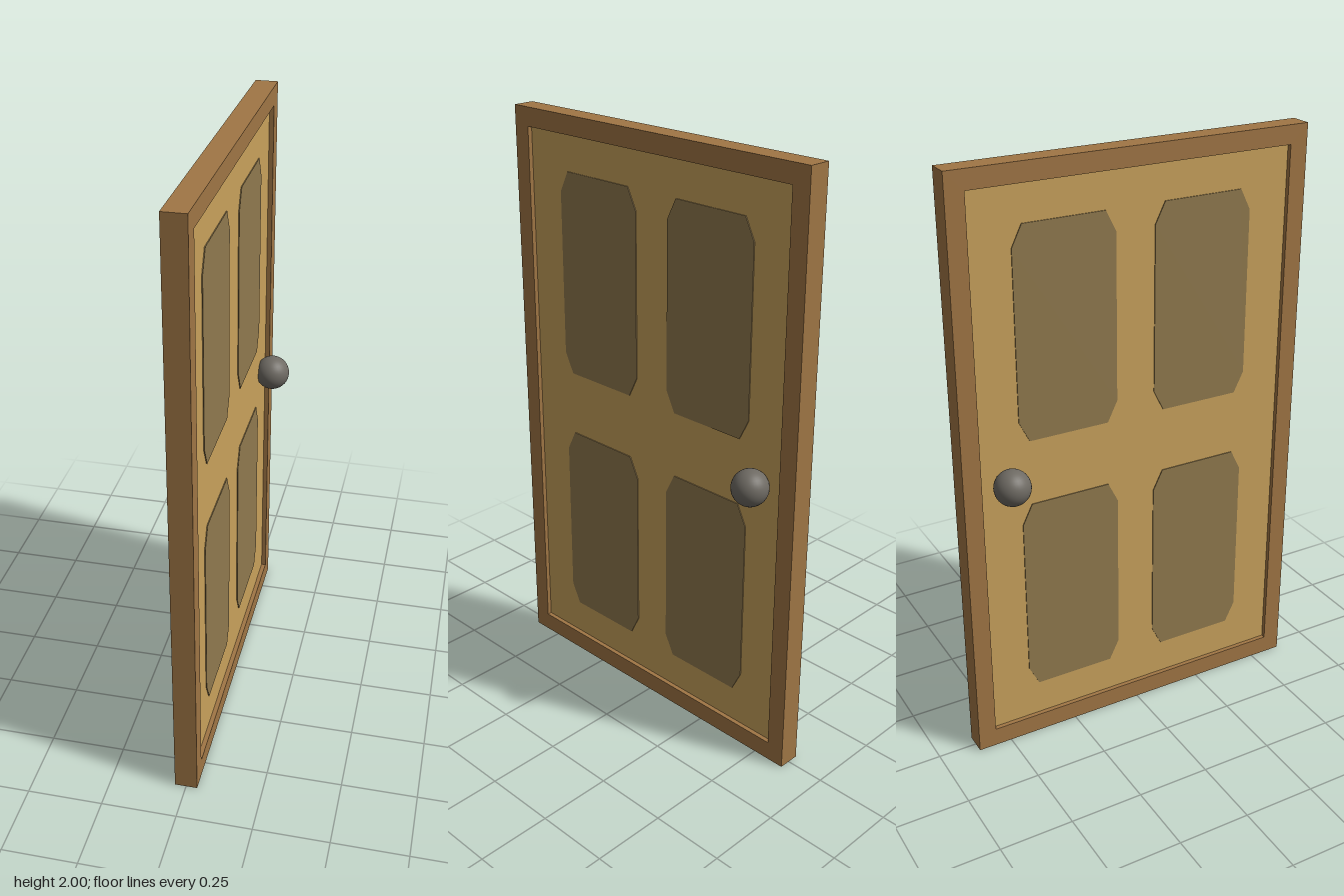
import * as THREE from 'three';

const FRAME_DEPTH = 0.075, DOOR_DEPTH = 0.044, INLAY_DEPTH = 0.05;

// Closed shape from [z, y] corners
const outline = (points) => new THREE.Shape(points.map(([z, y]) => new THREE.Vector2(z, y)));

const rect = (z0, y0, z1, y1) => [[z0, y0], [z1, y0], [z1, y1], [z0, y1]];

// Rectangle with cut corners
function cutRect(z0, y0, z1, y1, cz, cy) {
  return [
    [z0 + cz, y0], [z1 - cz, y0], [z1, y0 + cy], [z1, y1 - cy],
    [z1 - cz, y1], [z0 + cz, y1], [z0, y1 - cy], [z0, y0 + cy],
  ];
}

// Extrudes a shape drawn in the z-y plane, centred on x = 0
function slab(name, shape, depth, material) {
  const geometry = new THREE.ExtrudeGeometry(shape, { depth, bevelEnabled: false });
  geometry.translate(0, 0, -depth / 2);
  geometry.rotateY(-Math.PI / 2);
  const mesh = new THREE.Mesh(geometry, material);
  mesh.name = name;
  return mesh;
}

export function createModel() {
  const group = new THREE.Group();
  group.name = 'door';
  const frameWood = new THREE.MeshStandardMaterial({ color: 0xa07645 });
  const doorWood = new THREE.MeshStandardMaterial({ color: 0xc9a25c });
  const inlayWood = new THREE.MeshStandardMaterial({ color: 0x90794e });
  const metal = new THREE.MeshStandardMaterial({ color: 0x6e6a63 });

  // Surrounding frame with an opening
  const frame = outline(rect(-0.617, 0, 0.617, 2));
  frame.holes.push(outline(rect(-0.555, 0.065, 0.555, 1.937)));
  group.add(slab('frame', frame, FRAME_DEPTH, frameWood));

  // Recessed door leaf
  group.add(slab('doorLeaf', outline(rect(-0.555, 0.065, 0.555, 1.937)), DOOR_DEPTH, doorWood));

  // Four dark inlays, showing on both faces
  for (const [row, y] of [['lower', 0.19], ['upper', 1.115]]) {
    for (const [column, z] of [['Rear', -0.415], ['Front', 0.069]]) {
      const shape = outline(cutRect(z, y, z + 0.347, y + 0.7, 0.035, 0.07));
      group.add(slab(`${row}${column}Inlay`, shape, INLAY_DEPTH, inlayWood));
    }
  }

  // Round knob on each face
  for (const [name, x] of [['leftKnob', 0.066], ['rightKnob', -0.068]]) {
    const knob = new THREE.Mesh(new THREE.SphereGeometry(0.06, 32, 20), metal);
    knob.name = name;
    knob.position.set(x, 0.993, -0.465);
    group.add(knob);
  }

  return group;
}
